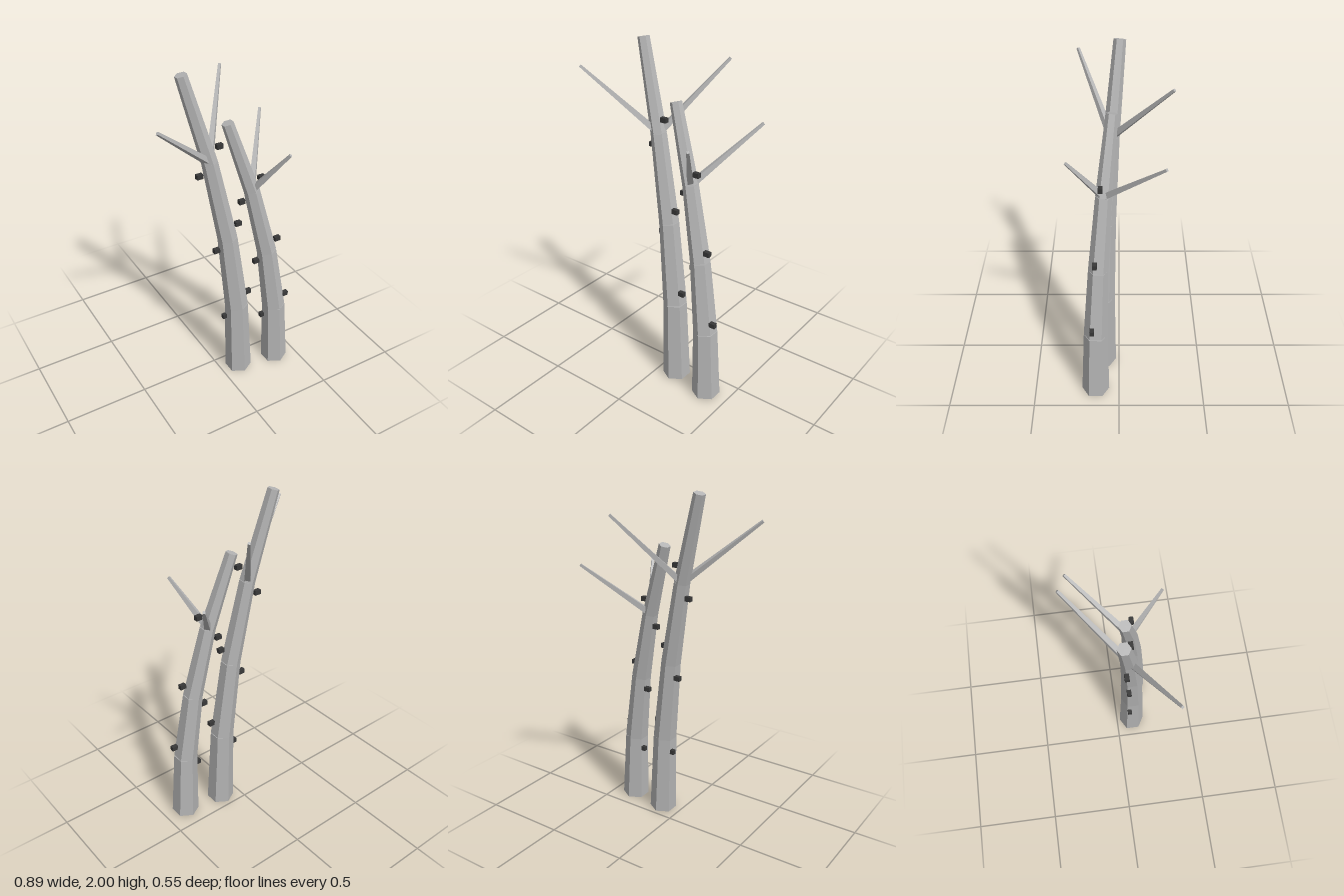
import * as THREE from 'three';

const bark = new THREE.MeshStandardMaterial({ color: 0xb4b4b4, flatShading: true });
bark.name = 'grey bark';
const dark = new THREE.MeshStandardMaterial({ color: 0x383838, flatShading: true });
dark.name = 'dark knot';

// tapered prism from point a to point b
function limb(name, a, b, rA, rB, sides) {
  const dir = b.clone().sub(a);
  const mesh = new THREE.Mesh(new THREE.CylinderGeometry(rB, rA, dir.length(), sides), bark);
  mesh.position.copy(a).add(b).multiplyScalar(0.5);
  mesh.quaternion.setFromUnitVectors(new THREE.Vector3(0, 1, 0), dir.normalize());
  mesh.name = name;
  return mesh;
}

// leaning tree: four trunk segments, two branches and alternating knots
function tree(name, x, z, height, tips) {
  const group = new THREE.Group();
  group.name = name;
  const at = t => new THREE.Vector3(x - 0.306 * t * t, 0.005 + (height - 0.005) * t, z - 0.105 * t * t);
  const radius = t => 0.081 - 0.048 * t;

  for (let i = 0; i < 4; i++) {
    const t0 = i / 4, t1 = (i + 1) / 4;
    group.add(limb('trunkSegment', at(t0), at(t1), radius(t0), radius(t1), 6));
  }

  for (const tip of tips) {
    group.add(limb('branch', at(0.75), new THREE.Vector3(...tip), 0.024, 0.01, 4));
  }

  // knots step up the trunk on both sides
  const knot = new THREE.BoxGeometry(0.037, 0.027, 0.025);
  for (let i = 0; i < 3; i++) {
    for (const [t, side] of [[0.21, -1], [0.295, 1]]) {
      const mesh = new THREE.Mesh(knot, dark);
      mesh.position.copy(at(t + 0.25 * i)).add(new THREE.Vector3(0.071 * side, 0, 0.023 * side));
      mesh.name = 'knot';
      group.add(mesh);
    }
  }
  return group;
}

export function createModel() {
  const model = new THREE.Group();
  model.name = 'bareTrees';
  model.add(tree('tallTree', 0.118, 0.1, 1.99, [[-0.437, 1.84, 0.225], [0.19, 1.88, -0.268]]));
  model.add(tree('shortTree', 0.363, 0.14, 1.69, [[0.435, 1.58, -0.23], [0.305, 1.54, 0.265]]));
  return model;
}
